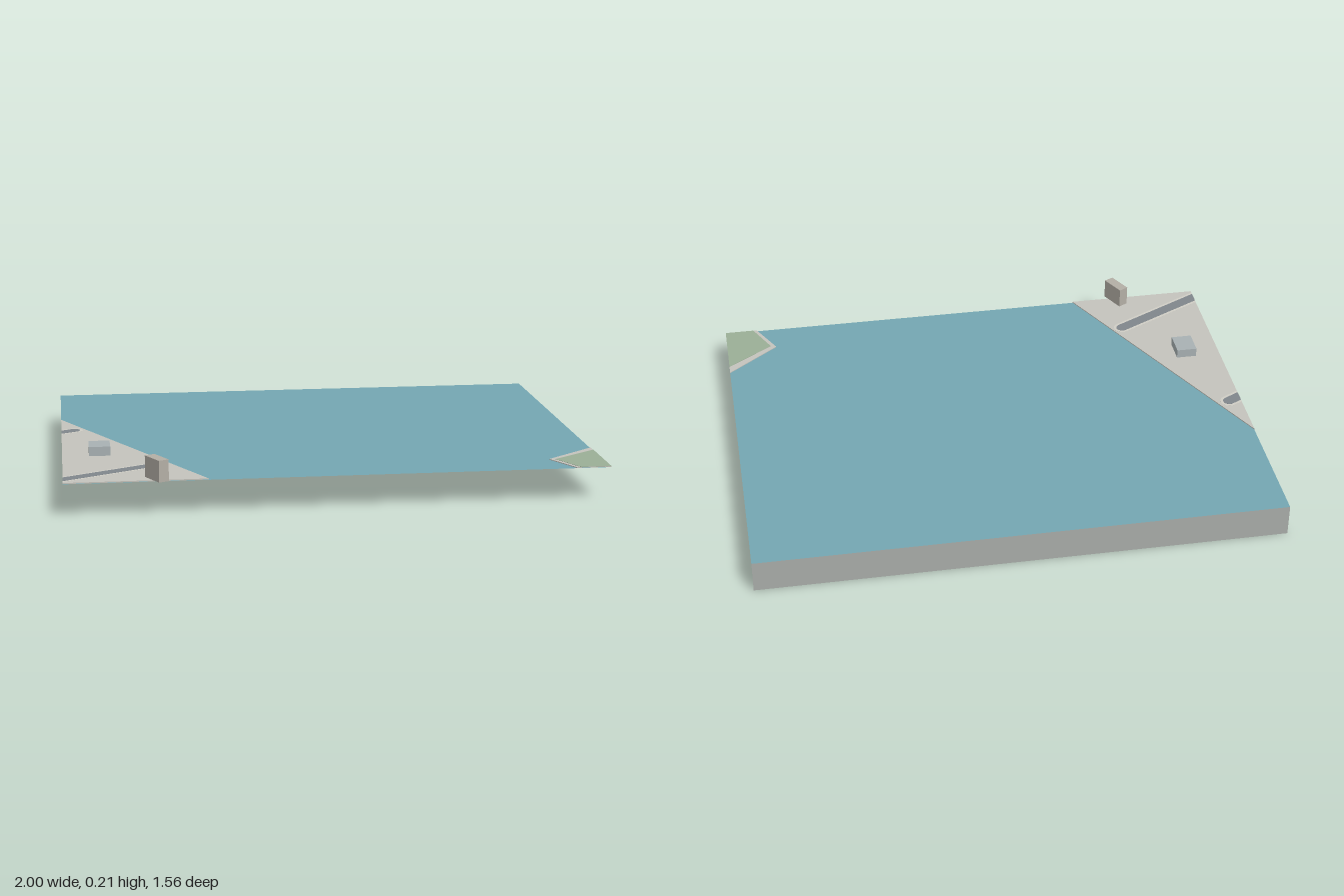
import * as THREE from 'three';

const WATER_Y = 0.125;
const LAND_Y = 0.13;

function paint(color) {
  return new THREE.MeshStandardMaterial({ color, side: THREE.DoubleSide, flatShading: true });
}

export function createModel() {
  const group = new THREE.Group();

  const add = (name, geometry, material) => {
    const mesh = new THREE.Mesh(geometry, material);
    mesh.name = name;
    group.add(mesh);
    return mesh;
  };

  // Thin horizontal slab from a plan outline given as [x, z] points
  const slab = (name, outline, bottom, top, material) => {
    const shape = new THREE.Shape(outline.map(([x, z]) => new THREE.Vector2(x, -z)));
    const geometry = new THREE.ExtrudeGeometry(shape, { depth: top - bottom, bevelEnabled: false });
    geometry.rotateX(-Math.PI / 2).translate(0, bottom, 0);
    return add(name, geometry, material);
  };

  const water = paint(0x74a6b2);
  const stone = paint(0xc4c3bc);
  const wall = paint(0xa9ada9);
  const pier = paint(0x7f868b);
  const kerb = paint(0xcfcdc5);
  const grass = paint(0x9aae96);

  // Water sheet and the retaining wall along its back edge
  const sheet = new THREE.PlaneGeometry(2, 1.52).rotateX(-Math.PI / 2);
  add('waterSurface', sheet, water).position.set(0, WATER_Y, -0.02);
  const back = new THREE.PlaneGeometry(2, WATER_Y).rotateY(Math.PI);
  add('backWall', back, wall).position.set(0, WATER_Y / 2, -0.78);

  // Paved bank
  slab('pavedBank', [[-1, -0.285], [-1, 0.74], [-0.48, 0.74]], 0.126, LAND_Y, stone);

  // Grass bank with a pale border
  slab('grassBorder', [[1, 0.445], [0.8, 0.605], [0.87, 0.74], [1, 0.74]], 0.126, 0.129, stone);
  slab('grassBank', [[1, 0.485], [0.822, 0.612], [0.885, 0.74], [1, 0.74]], 0.127, LAND_Y, grass);

  // Round-ended strips running in from the x = -1 edge
  const angle = 0.475;
  const strip = (name, x, z, radius, top, material) => {
    const outline = [];
    for (let i = 0; i <= 12; i++) {
      const a = angle - Math.PI / 2 + (Math.PI * i) / 12;
      outline.push([x + radius * Math.cos(a), z - radius * Math.sin(a)]);
    }
    const toEdge = ([px, pz]) => [-1, pz + (px + 1) * Math.tan(angle)];
    outline.unshift(toEdge(outline[0]));
    outline.push(toEdge(outline[outline.length - 1]));
    slab(name, outline, 0.129, top, material);
  };
  [[-0.645, 0.507], [-0.95, -0.085]].forEach(([x, z], i) => {
    strip('pathBorder' + (i + 1), x, z, 0.034, 0.1306, kerb);
    strip('path' + (i + 1), x, z, 0.023, 0.1314, pier);
  });

  // Low building and the taller, turned building at the front edge
  const low = add('lowBuilding', new THREE.BoxGeometry(0.08, 0.035, 0.1), paint(0xa8b1b3));
  low.position.set(-0.86, LAND_Y + 0.0175, 0.3);
  const tall = add('tallBuilding', new THREE.BoxGeometry(0.04, 0.08, 0.1), paint(0xb3aea5));
  tall.position.set(-0.665, LAND_Y + 0.04, 0.725);
  tall.rotation.y = angle;

  return group;
}
